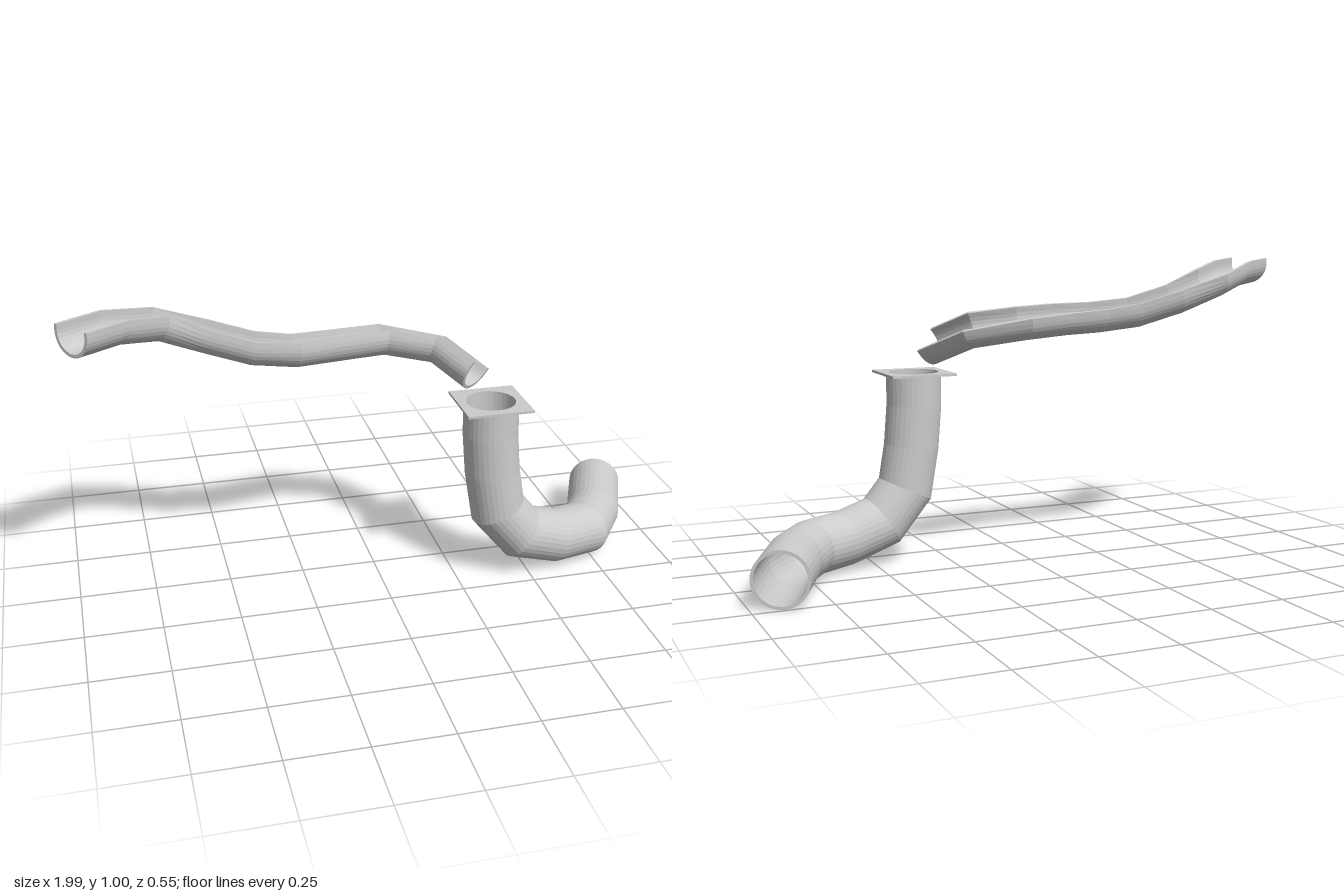
import * as THREE from 'three';

const V = (p) => new THREE.Vector3(p[0], p[1], p[2]);
const material = new THREE.MeshStandardMaterial({ color: 0xcccccc, flatShading: true });

// Closed thin-walled section: outer arc forward, inner arc back.
function wallSection(outer, inner, from, to, steps, drop = 0) {
  const arc = (r) => {
    const pts = [];
    for (let i = 0; i <= steps; i++) {
      const a = from + (to - from) * i / steps;
      pts.push([r * Math.cos(a), r * Math.sin(a) - drop]);
    }
    // straight lips above the arc of an open channel
    return drop ? [[-r, 0], ...pts, [r, 0]] : pts;
  };
  return [...arc(outer), ...arc(inner).reverse()];
}

// Sweep a section along a polyline with mitred joints.
// With rolls (degrees) the section is kept level and rolled; otherwise it is transported.
function sweep(path, section, rolls) {
  const pts = path.map(V), n = section.length, last = pts.length - 1;
  const dir = (i) => pts[i + 1].clone().sub(pts[i]).normalize();
  const pos = [], index = [];
  let side = new THREE.Vector3(1, 0, 0);
  pts.forEach((p, i) => {
    const dIn = dir(Math.max(i - 1, 0)), dOut = dir(Math.min(i, last - 1));
    const normal = dIn.clone().add(dOut).normalize();
    if (rolls) {
      side = dIn.clone().cross(new THREE.Vector3(0, 1, 0)).normalize();
      side.applyAxisAngle(dIn, -rolls[i] * Math.PI / 180);
    } else {
      side.addScaledVector(dIn, -side.dot(dIn)).normalize();
    }
    const up = side.clone().cross(dIn);
    for (const [s, u] of section) {
      const o = side.clone().multiplyScalar(s).addScaledVector(up, u);
      o.addScaledVector(dIn, -o.dot(normal) / dIn.dot(normal)).add(p);
      pos.push(o.x, o.y, o.z);
    }
  });
  // walls
  for (let i = 0; i < last; i++) {
    for (let j = 0; j < n; j++) {
      const a = i * n + j, b = i * n + (j + 1) % n;
      index.push(a, a + n, b, b, a + n, b + n);
    }
  }
  // end rims
  const e = last * n;
  for (let k = 0; k < n / 2 - 1; k++) {
    const a = k, b = k + 1, c = n - 2 - k, d = n - 1 - k;
    index.push(a, b, c, a, c, d);
    index.push(e + a, e + c, e + b, e + a, e + d, e + c);
  }
  const g = new THREE.BufferGeometry();
  g.setAttribute('position', new THREE.Float32BufferAttribute(pos, 3));
  g.setIndex(index);
  const flat = g.toNonIndexed();
  flat.computeVertexNormals();
  return flat;
}

function add(group, name, geometry) {
  const mesh = new THREE.Mesh(geometry, material);
  mesh.name = name;
  group.add(mesh);
  return mesh;
}

export function createModel() {
  const group = new THREE.Group();
  group.name = 'gutterAndPipe';

  // Open channel: path runs midway between the two rims
  const channelPath = [
    [-0.95, 1.0, 0.167], [-0.815, 0.994, 0.06], [-0.67, 0.961, -0.035],
    [-0.525, 0.908, -0.027], [-0.385, 0.866, 0], [-0.255, 0.852, 0.01],
    [-0.11, 0.849, -0.02], [0.05, 0.842, -0.06], [0.232, 0.814, -0.005],
    [0.327, 0.75, 0.124],
  ];
  const rolls = [0, 0, 2, 4, 6, 8, 10, 12, 20, 30];
  add(group, 'openChannel',
    sweep(channelPath, wallSection(0.072, 0.061, Math.PI, 2 * Math.PI, 16, 0.019), rolls));

  // Closed pipe: drops from the plate, then bends sideways and back
  const pipePath = [
    [0.353, 0.633, 0.163], [0.353, 0.53, 0.163], [0.364, 0.393, 0.163],
    [0.388, 0.25, 0.163], [0.473, 0.147, 0.16], [0.604, 0.105, 0.142],
    [0.733, 0.094, 0.096], [0.815, 0.092, -0.02], [0.912, 0.092, -0.242],
  ];
  add(group, 'drainPipe', sweep(pipePath, wallSection(0.091, 0.081, 0, 2 * Math.PI, 32)));

  // Square inlet plate with a round hole
  const h = 0.11;
  const shape = new THREE.Shape([[-h, -h], [h, -h], [h, h], [-h, h]].map(([x, y]) => new THREE.Vector2(x, y)));
  shape.holes.push(new THREE.Path().absarc(0, 0, 0.081, 0, 2 * Math.PI, true));
  const plate = add(group, 'inletPlate',
    new THREE.ExtrudeGeometry(shape, { depth: 0.008, bevelEnabled: false, curveSegments: 16 }));
  plate.rotation.x = -Math.PI / 2;
  plate.position.set(0.351, 0.632, 0.163);

  return group;
}
